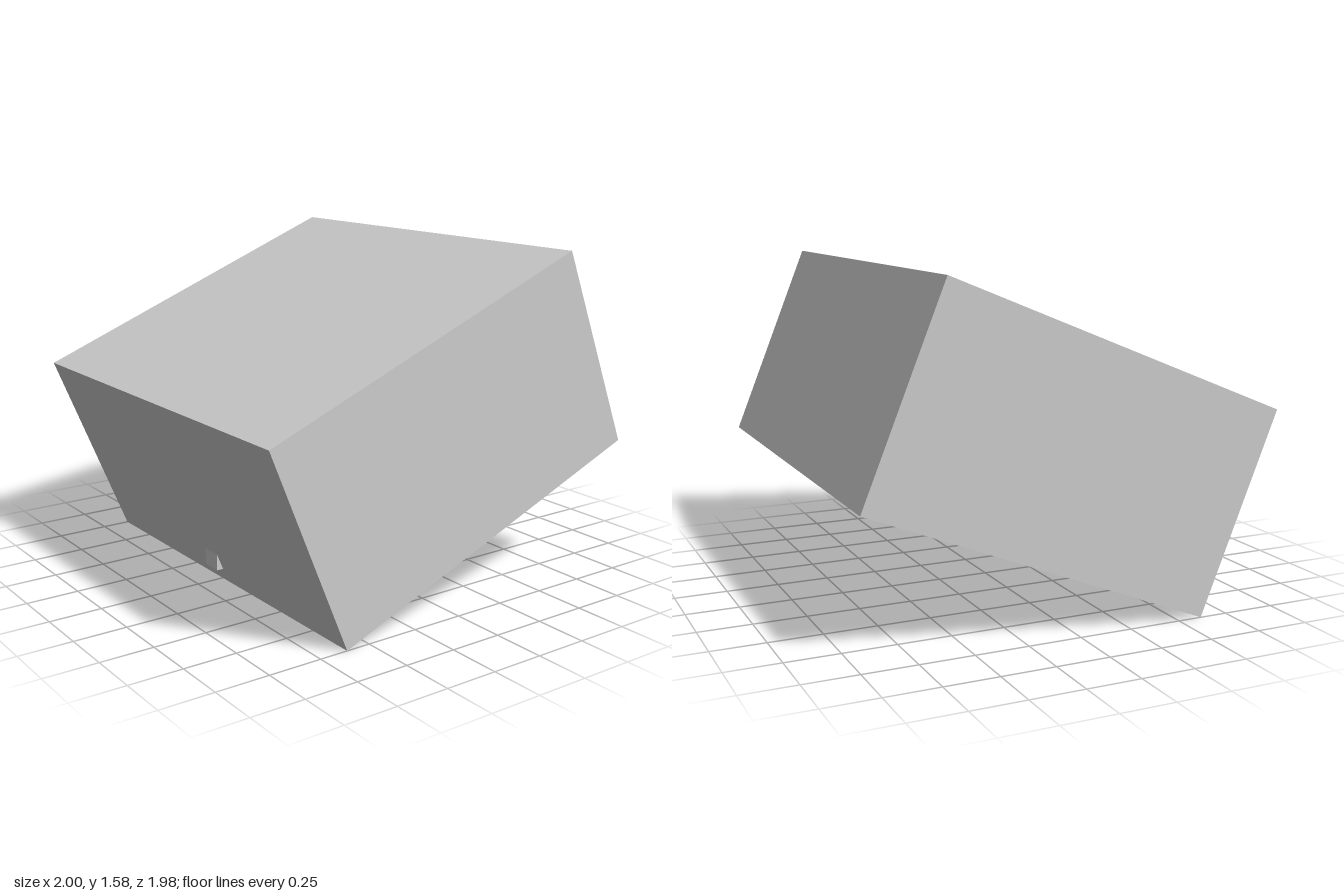
import * as THREE from 'three';

export function createModel() {
  const root = new THREE.Group();
  const grey = new THREE.MeshStandardMaterial({ color: 0xcccccc, flatShading: true });
  grey.name = 'plain grey';

  const add = (parent, name, geometry, x = 0, y = 0, z = 0) => {
    const mesh = new THREE.Mesh(geometry, grey);
    mesh.name = name;
    mesh.position.set(x, y, z);
    parent.add(mesh);
    return mesh;
  };
  const rect = (Type, w, d) => new Type([
    new THREE.Vector2(-w / 2, -d / 2), new THREE.Vector2(w / 2, -d / 2),
    new THREE.Vector2(w / 2, d / 2), new THREE.Vector2(-w / 2, d / 2),
  ]);

  // Tilted box, open underneath
  const W = 2, H = 1, D = 1.732, T = 0.093;
  const box = new THREE.Group();
  box.name = 'tiltedBox';
  const rim = rect(THREE.Shape, W, D);
  rim.holes.push(rect(THREE.Path, W - 2 * T, D - 2 * T));
  const walls = new THREE.ExtrudeGeometry(rim, { depth: H - T, bevelEnabled: false });
  walls.rotateX(-Math.PI / 2);
  add(box, 'boxWalls', walls, 0, -H / 2, 0);
  add(box, 'boxTop', new THREE.BoxGeometry(W, T, D), 0, H / 2 - T / 2, 0);
  box.rotation.x = THREE.MathUtils.degToRad(22.05);
  box.position.y = 0.79;
  root.add(box);

  // Upright prop stick, passing through the front wall
  add(root, 'propStick', new THREE.BoxGeometry(0.105, 0.52, 0.106), 0, 0.33, 0.622);

  // Bait hanging inside: a four-sided taper with a blocky stalk
  const bait = new THREE.Group();
  bait.name = 'bait';
  const taper = new THREE.CylinderGeometry(0, 0.15, 0.63, 4, 1, false, Math.PI / 4);
  taper.rotateZ(-Math.PI / 2);
  add(bait, 'baitTaper', taper, 0.11, 0.65, -0.19).rotation.z = -0.11;
  add(bait, 'baitStalk', new THREE.BoxGeometry(0.18, 0.15, 0.21), -0.29, 0.69, -0.19);
  root.add(bait);

  return root;
}
